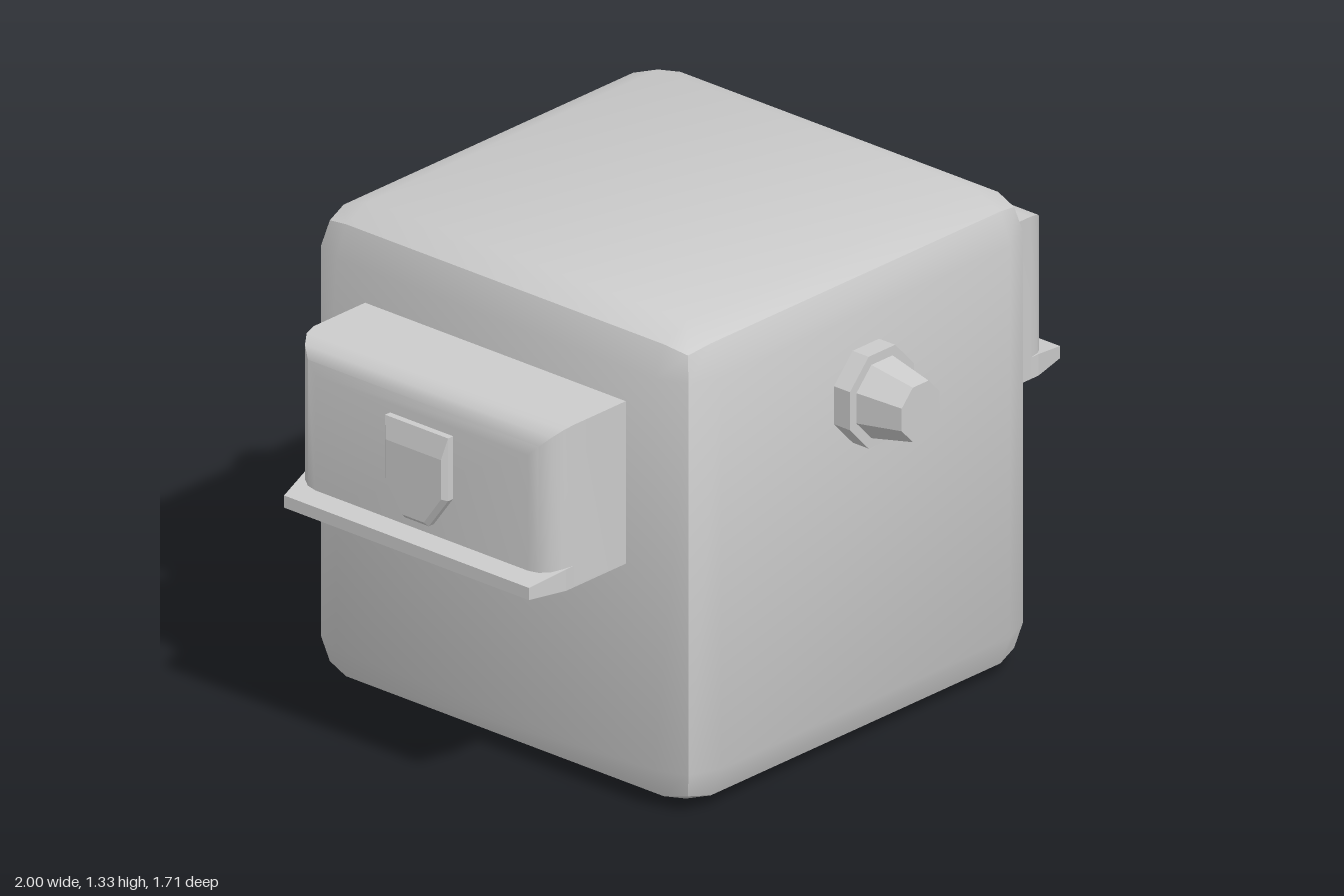
import * as THREE from 'three';
import { RoundedBoxGeometry } from 'three/addons/geometries/RoundedBoxGeometry.js';
import { toCreasedNormals } from 'three/addons/utils/BufferGeometryUtils.js';

const smooth = new THREE.MeshStandardMaterial({ color: 0xcccccc });
const flat = new THREE.MeshStandardMaterial({ color: 0xcccccc, flatShading: true });

function part(name, geometry, material, parent) {
  const mesh = new THREE.Mesh(geometry, material);
  mesh.name = name;
  parent.add(mesh);
  return mesh;
}

// Skins equal-length loops of [x, y, z], counter-clockwise seen from +x, and caps both ends.
function loft(loops) {
  const n = loops[0].length;
  const index = [];
  for (let s = 0; s < loops.length - 1; s++) {
    for (let i = 0; i < n; i++) {
      const a = s * n + i, b = s * n + (i + 1) % n;
      index.push(a, b, b + n, a, b + n, a + n);
    }
  }
  const last = (loops.length - 1) * n;
  for (let i = 1; i < n - 1; i++) {
    index.push(0, i + 1, i, last, last + i, last + i + 1);
  }
  const geometry = new THREE.BufferGeometry();
  geometry.setAttribute('position', new THREE.Float32BufferAttribute(loops.flat(2), 3));
  geometry.setIndex(index);
  return toCreasedNormals(geometry, 0.62);
}

// Rectangle across x
const rect = (x, halfZ, bottom, top) => [
  [x, bottom, halfZ], [x, bottom, -halfZ], [x, top, -halfZ], [x, top, halfZ],
];

// Shield outline across x
const shield = (x, halfZ, top, shoulder, tipZ, tip) => [
  [x, top, halfZ], [x, shoulder, halfZ], [x, tip, tipZ],
  [x, tip, -tipZ], [x, shoulder, -halfZ], [x, top, -halfZ],
];

// Side housing with rounded outer edges, a flared ledge and a shield plate
function createPod(side) {
  const pod = new THREE.Group();
  pod.name = side > 0 ? 'leftPod' : 'rightPod';

  const sections = [[0.62, 0]];
  for (let i = 0; i <= 4; i++) {
    const a = (i / 4) * Math.PI / 2;
    sections.push([0.86 + 0.083 * Math.sin(a), 0.083 * (1 - Math.cos(a))]);
  }
  part('housing', loft(sections.map(([x, inset]) =>
    rect(x, 0.447 - inset, 0.67, 1.118 - inset))), smooth, pod);

  part('ledge', loft([
    rect(0.62, 0.447, 0.665, 0.725),
    rect(0.89, 0.447, 0.665, 0.725),
    rect(1.0, 0.42, 0.668, 0.702),
  ]), flat, pod);

  part('shieldPlate', loft([
    shield(0.93, 0.108, 1.01, 0.835, 0.042, 0.745),
    shield(0.962, 0.108, 1.01, 0.835, 0.042, 0.745),
    shield(0.975, 0.095, 0.95, 0.84, 0.036, 0.758),
  ]), flat, pod);

  if (side < 0) pod.rotation.y = Math.PI;
  return pod;
}

// Eight-sided knob: collar and tapered spike, pointing along +z
function createKnob(name, turn) {
  const knob = new THREE.Group();
  knob.name = name;
  const k = 1 / Math.cos(Math.PI / 8);
  const prism = (rTip, rBase, z0, z1) => {
    const g = new THREE.CylinderGeometry(rTip * k, rBase * k, z1 - z0, 8);
    g.rotateY(Math.PI / 8);
    g.rotateX(Math.PI / 2);
    g.scale(0.94, 1, 1);
    return g.translate(0, 0.99, (z0 + z1) / 2);
  };
  part('collar', prism(0.128, 0.128, 0.64, 0.72), flat, knob);
  part('spike', prism(0.076, 0.104, 0.71, 0.853), flat, knob);
  knob.rotation.y = turn;
  return knob;
}

export function createModel() {
  const model = new THREE.Group();
  model.name = 'cubeBody';

  // Main cube with softened edges, creased along the middle of each bevel
  const cube = toCreasedNormals(new RoundedBoxGeometry(1.33, 1.33, 1.33, 1, 0.12), 0.62);
  part('cube', cube.translate(0, 0.665, 0), smooth, model);

  for (const side of [1, -1]) model.add(createPod(side));
  model.add(createKnob('frontKnob', 0), createKnob('backKnob', Math.PI));
  return model;
}
